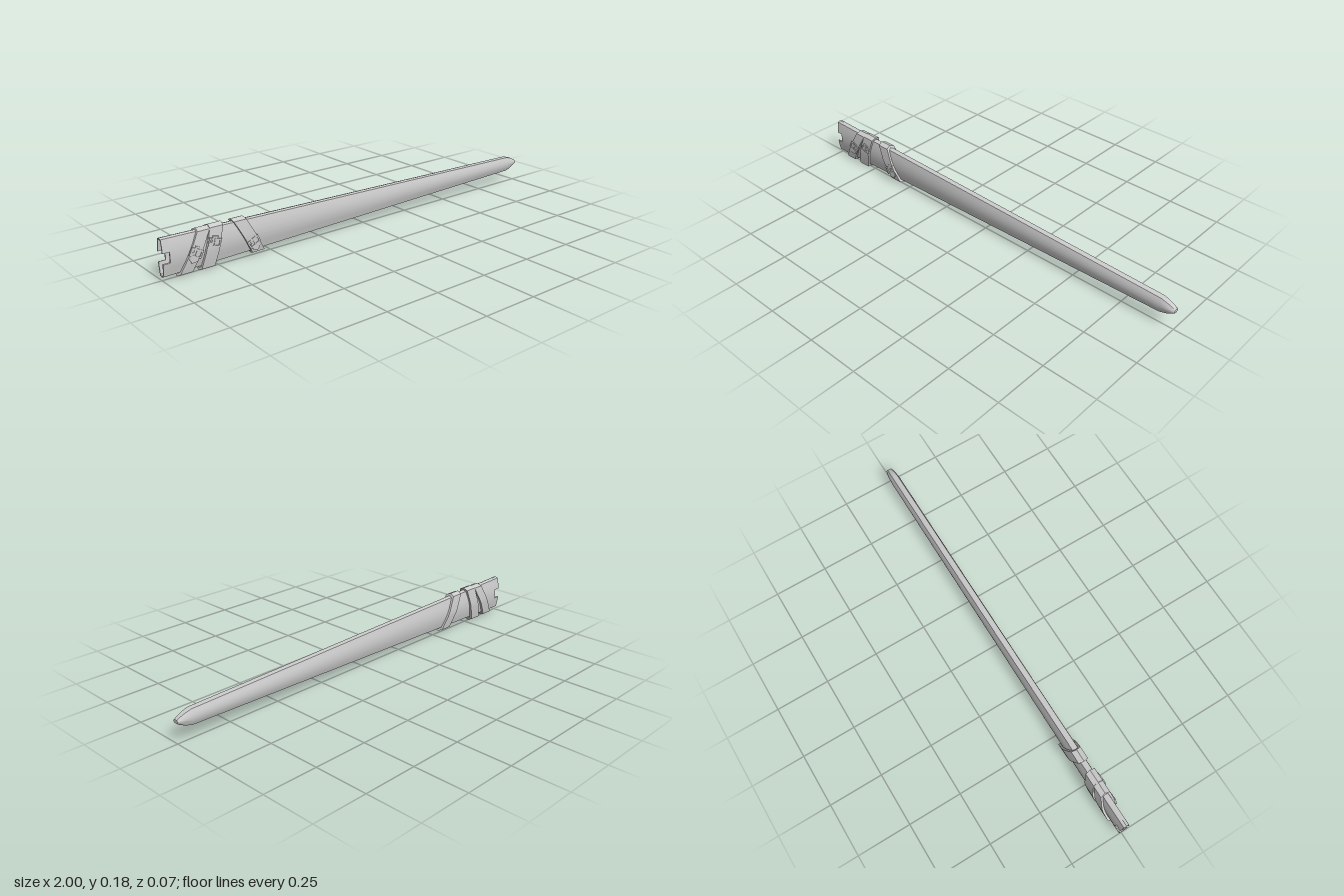
import * as THREE from 'three';
import { toCreasedNormals } from 'three/addons/utils/BufferGeometryUtils.js';

const mat = new THREE.MeshStandardMaterial({ color: 0xcccccc });
const CY = 0.096; // height of the long axis

function add(parent, name, geo, x = 0, y = 0, z = 0) {
  const m = new THREE.Mesh(geo, mat);
  m.name = name;
  m.position.set(x, y, z);
  parent.add(m);
  return m;
}

// Skin a list of closed rings of [x, y, z]; cap the ends or join last to first.
function loft(rings, { loop = false, capStart = false, capEnd = false } = {}, crease = 0.5) {
  const pos = [], n = rings[0].length;
  const tri = (a, b, c) => pos.push(...a, ...b, ...c);
  const last = loop ? rings.length : rings.length - 1;
  for (let r = 0; r < last; r++) {
    const p = rings[r], q = rings[(r + 1) % rings.length];
    for (let i = 0; i < n; i++) {
      const j = (i + 1) % n;
      tri(p[i], p[j], q[j]);
      tri(p[i], q[j], q[i]);
    }
  }
  const cap = (ring, flip) => {
    const c = [0, 1, 2].map(k => ring.reduce((s, p) => s + p[k], 0) / n);
    for (let i = 0; i < n; i++) {
      const a = ring[i], b = ring[(i + 1) % n];
      flip ? tri(c, b, a) : tri(c, a, b);
    }
  };
  if (capStart) cap(rings[0], true);
  if (capEnd) cap(rings[rings.length - 1], false);
  const g = new THREE.BufferGeometry();
  g.setAttribute('position', new THREE.Float32BufferAttribute(pos, 3));
  return toCreasedNormals(g, crease);
}

// Mirror a quarter profile of [z, y] (top to middle) into a whole section.
function wholeSection(quarter) {
  const onAxis = quarter[quarter.length - 1][1] === 0;
  const lower = (onAxis ? quarter.slice(0, -1) : quarter).map(([z, y]) => [z, -y]).reverse();
  const right = [...quarter, ...lower];
  const left = right.slice(1, -1).map(([z, y]) => [-z, y]).reverse();
  return [...right, ...left];
}

// Sheath: lens section with narrow ridged edges
const lens = wholeSection([[0, 1], [0.55, 0.95], [0.82, 0.58], [0.96, 0.28], [1, 0]]);
const halfHeight = x => 0.082 - (x + 1) * 0.0238;
const ring = (x, h, w) => lens.map(([z, y]) => [x, CY + y * h, z * w]);
const W = 0.023, WALL = 0.006, LIP = -0.97;
const outer = x => ring(x, halfHeight(x), W);
const inner = x => ring(x, halfHeight(x) - WALL, W - WALL);

function makeSheath() {
  const g = new THREE.Group();
  g.name = 'sheath';
  add(g, 'sheathBody', loft([
    inner(0.85), inner(LIP), outer(LIP), outer(0), outer(0.935),
    ring(0.965, 0.027, W * 0.9), ring(0.988, 0.016, W * 0.75), ring(1, 0.008, W * 0.6),
  ], { capStart: true, capEnd: true }));

  // Mouth lips above and below the notch
  const o0 = outer(-1), o1 = outer(LIP), i0 = inner(-1), i1 = inner(LIP);
  for (const [name, start] of [['upperMouthLip', 13], ['lowerMouthLip', 5]]) {
    const rows = [];
    for (let k = start; k <= start + 6; k++) {
      const i = k % lens.length;
      rows.push([o1[i], o0[i], i0[i], i1[i]]);
    }
    add(g, name, loft(rows, { capStart: true, capEnd: true }));
  }
  return g;
}

// Buckle: frame, crossbar, prong and stud, plus the loose strap end
function makeBuckle() {
  const g = new THREE.Group();
  g.name = 'buckle';
  const rect = (s, w, h) => {
    s.moveTo(-w, -h); s.lineTo(w, -h); s.lineTo(w, h); s.lineTo(-w, h); s.closePath();
    return s;
  };
  const frame = rect(new THREE.Shape(), 0.028, 0.018);
  frame.holes.push(rect(new THREE.Path(), 0.021, 0.011));
  add(g, 'buckleFrame', new THREE.ExtrudeGeometry(frame, { depth: 0.007, bevelEnabled: false }), 0, 0, -0.004);
  add(g, 'bucklePlate', new THREE.BoxGeometry(0.026, 0.03, 0.005), 0, 0.012, -0.001);
  add(g, 'prong', new THREE.BoxGeometry(0.005, 0.03, 0.003), 0, 0, 0.002);
  const stud = add(g, 'stud', new THREE.CylinderGeometry(0.005, 0.006, 0.006, 8), 0, 0.014, 0.001);
  stud.rotation.x = Math.PI / 2;
  const end = new THREE.Shape();
  end.moveTo(-0.018, 0); end.lineTo(-0.018, -0.032); end.lineTo(0, -0.044);
  end.lineTo(0.018, -0.032); end.lineTo(0.018, 0); end.closePath();
  add(g, 'strapEnd', new THREE.ExtrudeGeometry(end, { depth: 0.005, bevelEnabled: false }), 0, 0, -0.005);
  return g;
}

// Slanted strap wrapped around the sheath
const strapSection = wholeSection([[0, 0.092], [0.023, 0.082], [0.033, 0.013]]);
function makeStrap({ name, bottom, top, width, height, cy, buckleY }) {
  const g = new THREE.Group();
  g.name = name;
  const slope = (top - bottom) / 0.18, mid = (top + bottom) / 2;
  const rows = strapSection.map(([z, y]) => {
    const yo = y * height, yi = yo * 0.88, zi = z * 0.6;
    const xo = mid + slope * yo, xi = mid + slope * yi, w = width / 2;
    return [[xo + w, cy + yo, z], [xo - w, cy + yo, z], [xi - w, cy + yi, zi], [xi + w, cy + yi, zi]];
  });
  add(g, 'strapBand', loft(rows, { loop: true }, 0.4));
  const b = makeBuckle(), dy = buckleY - cy;
  b.position.set(mid + slope * dy, buckleY, 0.0335 - Math.max(0, Math.abs(dy) - 0.013) * 0.14);
  b.rotation.z = -Math.atan(slope);
  g.add(b);
  return g;
}

export function createModel() {
  const model = new THREE.Group();
  model.name = 'scabbard';
  model.add(makeSheath());
  const straps = [
    { name: 'firstStrap', bottom: -0.91, top: -0.815, width: 0.055, height: 0.98, cy: 0.0915, buckleY: 0.09 },
    { name: 'secondStrap', bottom: -0.81, top: -0.76, width: 0.06, height: 1, cy: 0.092, buckleY: 0.113 },
    { name: 'thirdStrap', bottom: -0.565, top: -0.66, width: 0.058, height: 0.93, cy: 0.096, buckleY: 0.07 },
  ];
  for (const s of straps) model.add(makeStrap(s));
  return model;
}
